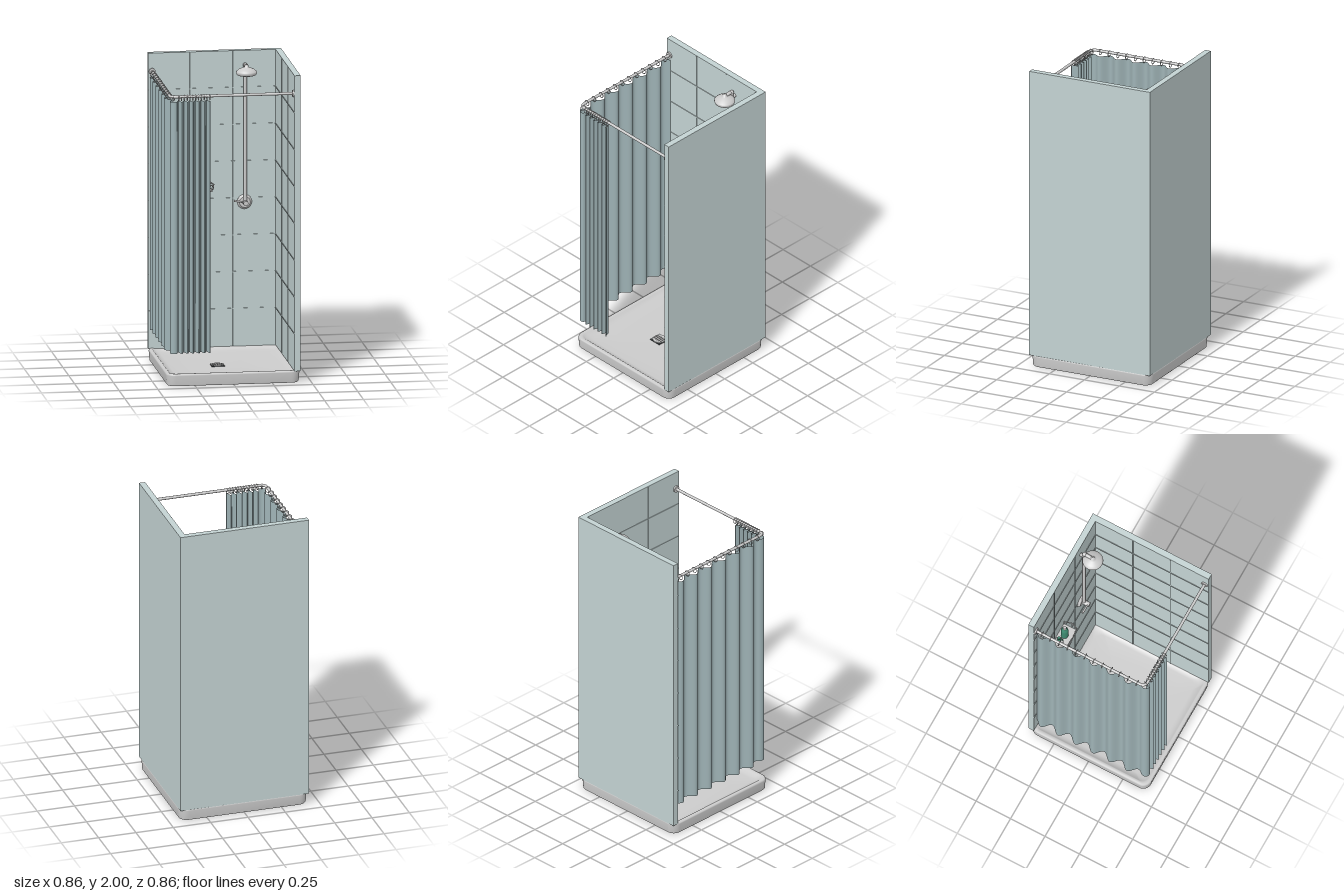
import * as THREE from 'three';

const mat = (color, side = THREE.FrontSide) => new THREE.MeshStandardMaterial({ color, side });
const grey = mat(0xcccccc);
const wallMat = mat(0xc3d2d2);
const green = mat(0x3d8a70);
const dark = mat(0x3c4042);
const curtainMat = mat(0x9fb3b6, THREE.DoubleSide);

export function createModel() {
  const model = new THREE.Group();
  const V = (x, y, z) => new THREE.Vector3(x, y, z);

  function add(name, geo, material, x = 0, y = 0, z = 0, parent = model) {
    const m = new THREE.Mesh(geo, material);
    m.name = name;
    m.position.set(x, y, z);
    parent.add(m);
    return m;
  }
  const box = (name, w, h, d, x, y, z, material = grey, parent = model) =>
    add(name, new THREE.BoxGeometry(w, h, d), material, x, y, z, parent);

  // Round bar between two points
  function bar(name, a, b, r, parent = model, r2 = r, material = grey) {
    const m = add(name, new THREE.CylinderGeometry(r2, r, a.distanceTo(b), 20), material, 0, 0, 0, parent);
    m.position.copy(a).add(b).multiplyScalar(0.5);
    m.quaternion.setFromUnitVectors(V(0, 1, 0), b.clone().sub(a).normalize());
    return m;
  }
  const lathe = (pts) => new THREE.LatheGeometry(pts.map(([r, y]) => new THREE.Vector2(r, y)), 32);

  // Shower tray: rounded-square rings [half width, height, corner radius]
  const rings = [
    [0.001, 0, 0.0005], [0.42, 0, 0.05], [0.42, 0, 0.05], [0.425, 0.006, 0.055], [0.43, 0.066, 0.06],
    [0.428, 0.074, 0.058], [0.421, 0.078, 0.05], [0.408, 0.078, 0.045], [0.402, 0.074, 0.045],
    [0.385, 0.06, 0.05], [0.36, 0.054, 0.06], [0.25, 0.05, 0.06], [0.001, 0.046, 0.0005],
  ];
  const pos = [], idx = [], seg = 8, n = 4 * (seg + 1);
  for (const [h, y, r] of rings) {
    for (let c = 0; c < 4; c++) {
      for (let k = 0; k <= seg; k++) {
        const a = (c + k / seg) * Math.PI / 2;
        const sx = c === 0 || c === 3 ? 1 : -1, sz = c < 2 ? 1 : -1;
        pos.push(sx * (h - r) + r * Math.cos(a), y, sz * (h - r) + r * Math.sin(a));
      }
    }
  }
  for (let i = 0; i < rings.length - 1; i++) {
    for (let j = 0; j < n; j++) {
      const a = i * n + j, b = i * n + (j + 1) % n;
      idx.push(a, a + n, b, b, a + n, b + n);
    }
  }
  const trayGeo = new THREE.BufferGeometry();
  trayGeo.setAttribute('position', new THREE.Float32BufferAttribute(pos, 3));
  trayGeo.setIndex(idx);
  trayGeo.computeVertexNormals();
  add('tray', trayGeo, grey);

  // Drain: dark square well under a slotted round grate
  box('drainWell', 0.084, 0.008, 0.084, -0.05, 0.048, 0.046, dark);
  const grate = new THREE.Shape().absarc(0, 0, 0.042, 0, Math.PI * 2);
  for (let i = -2; i <= 2; i++) {
    const x = i * 0.0145, h = 0.026 - Math.abs(i) * 0.002, w = 0.003;
    grate.holes.push(new THREE.Path().moveTo(x - w, -h).lineTo(x - w, h).lineTo(x + w, h).lineTo(x + w, -h));
  }
  add('drainGrate', new THREE.ExtrudeGeometry(grate, { depth: 0.004, bevelEnabled: false, curveSegments: 32 }),
    grey, -0.05, 0.052, 0.046).rotation.x = -Math.PI / 2;

  // Walls
  box('backWall', 0.86, 1.925, 0.04, 0, 1.0375, -0.412, wallMat);
  box('sideWall', 0.04, 1.925, 0.822, 0.41, 1.0375, 0.019, wallMat);

  // Tile joints on the inner wall faces
  const joints = new THREE.Group();
  joints.name = 'tileJoints';
  model.add(joints);
  for (let i = 0; i < 7; i++) {
    const y = 0.32 + i * 0.24;
    box('backJoint', 0.82, 0.006, 0.005, -0.02, y, -0.391, wallMat, joints);
    box('sideJoint', 0.005, 0.006, 0.82, 0.389, y, 0.018, wallMat, joints);
  }
  for (const x of [-0.16, 0.117]) box('backJoint', 0.006, 1.92, 0.005, x, 1.038, -0.391, wallMat, joints);
  for (const z of [-0.12, 0.155]) box('sideJoint', 0.005, 1.92, 0.006, 0.389, 1.038, z, wallMat, joints);

  // Curtain rod with a rounded corner and wall flanges
  const rodY = 1.88, RX = -0.405, RZ = 0.402, R = 0.04;
  const rod = new THREE.CurvePath();
  rod.add(new THREE.LineCurve3(V(RX, rodY, -0.392), V(RX, rodY, RZ - R)));
  rod.add(new THREE.QuadraticBezierCurve3(V(RX, rodY, RZ - R), V(RX, rodY, RZ), V(RX + R, rodY, RZ)));
  rod.add(new THREE.LineCurve3(V(RX + R, rodY, RZ), V(0.39, rodY, RZ)));
  add('curtainRod', new THREE.TubeGeometry(rod, 160, 0.0095, 12), grey);
  bar('rodFlange', V(RX, rodY, -0.392), V(RX, rodY, -0.382), 0.022);
  bar('rodFlange', V(0.39, rodY, RZ), V(0.38, rodY, RZ), 0.022);

  // Point and outward normal on the rod line, where t counts the curtain rings
  const side = 0.0626, front = 0.0182;
  const tA = (RZ - R + 0.345) / side, tB = 12 + (RX + R + 0.37) / front;
  function rail(t) {
    if (t < tA) return [RX, -0.345 + side * t, -1, 0];
    if (t > tB) return [-0.37 + front * (t - 12), RZ, 0, 1];
    const a = (t - tA) / (tB - tA) * Math.PI / 2;
    return [RX + R - R * Math.cos(a), RZ - R + R * Math.sin(a), -Math.cos(a), Math.sin(a)];
  }

  // Curtain: a thin pleated sheet, one ring at each crest and trough
  const t0 = -0.7, t1 = 24.2;
  const sheet = new THREE.PlaneGeometry(1, 1, 300, 4);
  const p = sheet.attributes.position;
  for (let i = 0; i < p.count; i++) {
    const t = t0 + (p.getX(i) + 0.5) * (t1 - t0);
    const [x, z, nx, nz] = rail(t);
    const wave = 0.022 * Math.cos(Math.PI * t);
    p.setXYZ(i, x + nx * wave, 0.21 + (p.getY(i) + 0.5) * 1.64, z + nz * wave);
  }
  sheet.computeVertexNormals();
  add('curtain', sheet, curtainMat);

  const ringGeo = new THREE.TorusGeometry(0.0185, 0.0022, 6, 20);
  for (let i = 0; i <= 24; i++) {
    const [x, z, nx, nz] = rail(i);
    add('curtainRing', ringGeo, grey, x, rodY - 0.008, z).rotation.y = Math.atan2(-nz, nx);
  }

  // Shower: valve, lever, riser pipe, arm and rain head
  const shower = new THREE.Group();
  shower.name = 'shower';
  shower.position.set(0.19, 0, 0);
  model.add(shower);
  bar('valvePlate', V(0, 1.015, -0.392), V(0, 1.015, -0.374), 0.048, shower, 0.035);
  bar('valveBody', V(0, 1.015, -0.376), V(0, 1.015, -0.325), 0.016, shower);
  bar('lever', V(0, 1.02, -0.335), V(-0.076, 1.034, -0.335), 0.005, shower, 0.007);
  const pipe = new THREE.CurvePath();
  pipe.add(new THREE.LineCurve3(V(0, 1.015, -0.366), V(0, 1.885, -0.366)));
  pipe.add(new THREE.QuadraticBezierCurve3(V(0, 1.885, -0.366), V(0, 1.912, -0.366), V(0, 1.912, -0.34)));
  pipe.add(new THREE.LineCurve3(V(0, 1.912, -0.34), V(0, 1.905, -0.302)));
  add('riserPipe', new THREE.TubeGeometry(pipe, 80, 0.0115, 14), grey, 0, 0, 0, shower);
  bar('wallBracket', V(0, 1.87, -0.392), V(0, 1.87, -0.366), 0.012, shower);
  add('pipeJoint', new THREE.SphereGeometry(0.015, 20, 14), grey, 0, 1.91, -0.362, shower);
  add('showerHead', lathe([[0, 0], [0.055, 0], [0.062, 0.004], [0.067, 0.016], [0.065, 0.025],
    [0.05, 0.038], [0.025, 0.049], [0.014, 0.052], [0.012, 0.066], [0, 0.068]]), grey, 0, 1.857, -0.302, shower);

  // Shelf with a guard rail
  const shelf = new THREE.Group();
  shelf.name = 'shelf';
  model.add(shelf);
  box('shelfPlate', 0.235, 0.006, 0.092, -0.147, 1.107, -0.346, grey, shelf);
  const outline = [[0.117, -0.391], [0.132, -0.34], [0.117, -0.298], [0, -0.284],
    [-0.117, -0.298], [-0.132, -0.34], [-0.117, -0.391]];
  outline.forEach(([x, z], i) => {
    const a = V(x - 0.147, 1.145, z);
    add('railJoint', new THREE.SphereGeometry(0.0035, 10, 8), grey, a.x, a.y, a.z, shelf);
    bar('railPost', V(x * 0.96 - 0.147, 1.107, Math.min(z, -0.301)), a, 0.003, shelf);
    if (i < 6) {
      const [x2, z2] = outline[i + 1];
      bar('guardRail', a, V(x2 - 0.147, 1.145, z2), 0.0035, shelf);
    }
  });

  // Green bottle with a pale cap
  const body = [[0, 0], [0.021, 0], [0.024, 0.004], [0.024, 0.09], [0.021, 0.108], [0.012, 0.122], [0.011, 0.13], [0, 0.13]];
  add('bottle', lathe(body), green, -0.098, 1.11, -0.349);
  add('bottleCap', new THREE.CylinderGeometry(0.011, 0.012, 0.018, 24), grey, -0.098, 1.246, -0.349);

  // Pale bottle with a green pump
  add('pumpBottle', lathe([[0, 0], [0.025, 0], [0.028, 0.004], [0.028, 0.08], [0.022, 0.095], [0.012, 0.1], [0, 0.1]]),
    grey, -0.174, 1.11, -0.349);
  bar('pumpCollar', V(-0.174, 1.209, -0.349), V(-0.174, 1.221, -0.349), 0.013, model, 0.012, green);
  bar('pumpStem', V(-0.174, 1.22, -0.349), V(-0.174, 1.242, -0.349), 0.005, model, 0.005, green);
  bar('pumpHead', V(-0.174, 1.24, -0.349), V(-0.174, 1.25, -0.349), 0.01, model, 0.009, green);
  bar('pumpNozzle', V(-0.174, 1.245, -0.349), V(-0.174, 1.239, -0.318), 0.005, model, 0.004, green);

  return model;
}
